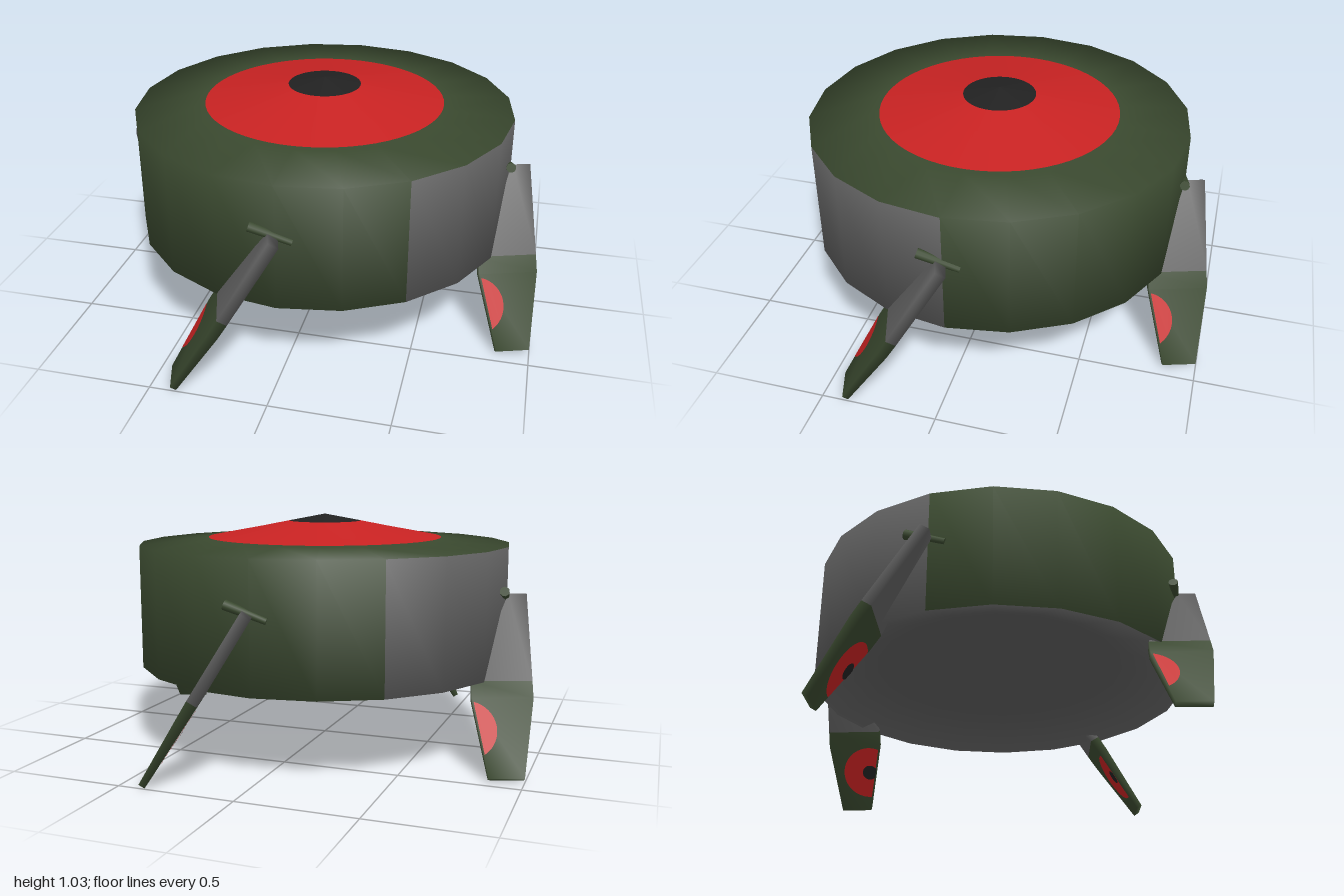
import * as THREE from 'three';

const mat = (name, color) => {
  const m = new THREE.MeshStandardMaterial({ color });
  m.name = name;
  return m;
};
const v2 = (pts) => pts.map(([x, y]) => new THREE.Vector2(x, y));

export function createModel() {
  const green = mat('dark green', 0x3a492f);
  const grey = mat('mid grey', 0x606060);
  const red = mat('signal red', 0xc82222);
  const black = mat('near black', 0x212121);

  const model = new THREE.Group();
  model.name = 'diskWalker';
  const add = (parent, name, geo, material) => {
    const mesh = new THREE.Mesh(geo, material);
    mesh.name = name;
    parent.add(mesh);
    return mesh;
  };

  // Twenty-sided hull: dished underside, wall and shallow roof share smooth normals
  const SIDES = 20;
  const underside = [[0, 0.51], [0.3, 0.495], [0.58, 0.465], [0.84, 0.36]];
  const roof = [[0.84, 0.9], [0.55, 0.92], [0.3, 0.965], [0, 1.025]];
  const hull = new THREE.LatheGeometry(v2([...underside, ...roof]), SIDES);
  const band = (roof.length - 1) * 6;
  for (let i = 0; i < SIDES; i++) {
    const start = i * (band * 2 + 6);
    // Three wall sides on two opposite quarters are grey
    const panel = i % 10 >= 2 && i % 10 <= 4;
    hull.addGroup(start, band, 1);
    hull.addGroup(start + band, 6, panel ? 1 : 0);
    hull.addGroup(start + band + 6, band, 0);
  }
  add(model, 'hull', hull, [green, grey]);

  // Round roof target, laid just above the roof
  add(model, 'roofTargetRing', new THREE.LatheGeometry(
    v2([[0.53, 0.926], [0.3, 0.969], [0.16, 0.997]]), 60), red);
  add(model, 'roofTargetCentre', new THREE.LatheGeometry(
    v2([[0.16, 0.997], [0, 1.028]]), 60), black);

  // Leg frame: x = outward, y = up along the leg, z = normal of the upper face
  const twist = Math.PI / 10;
  const out = new THREE.Vector3(Math.sin(twist), 0, Math.cos(twist));
  const side = new THREE.Vector3(-Math.cos(twist), 0, Math.sin(twist));
  const along = side.clone().multiplyScalar(-0.525);
  along.y = 0.85;
  along.normalize();
  const face = out.clone().cross(along);
  const legFrame = new THREE.Matrix4().makeBasis(out, along, face)
    .setPosition(side.clone().multiplyScalar(0.265).setY(0.69));

  // Blade cross-sections: distance down the leg, inner edge, outer edge.
  // Below the colour split the blade thins towards the foot.
  const SPLIT = 0.395, FOOT = 0.803;
  const half = (s) => 0.023 * (1 - 0.4 * Math.max(0, (s - SPLIT) / (FOOT - SPLIT)));
  const stations = [[0, 0.8, 0.878], [SPLIT, 0.627, 0.878], [0.47, 0.625, 0.878], [FOOT, 0.68, 0.824]];
  const pos = [], idx = [0, 1, 2, 0, 2, 3];
  stations.forEach(([s, inner, outer], i) => {
    const h = half(s);
    pos.push(inner, -s, h, outer, -s, h, outer, -s, -h, inner, -s, -h);
    if (i === 0) return;
    for (let k = 0; k < 4; k++) {
      const n = (k + 1) % 4, a = (i - 1) * 4, b = i * 4;
      idx.push(a + k, b + k, b + n, a + k, b + n, a + n);
    }
  });
  const last = (stations.length - 1) * 4;
  idx.push(last, last + 2, last + 1, last, last + 3, last + 2);
  const bladeGeo = new THREE.BufferGeometry();
  bladeGeo.setAttribute('position', new THREE.Float32BufferAttribute(pos, 3));
  bladeGeo.setIndex(idx);
  bladeGeo.computeVertexNormals();
  bladeGeo.addGroup(0, 30, 1);
  bladeGeo.addGroup(30, idx.length - 30, 0);

  // Disc cut off at the inner edge, laid on the upper (1) or lower (-1) face
  const cutDisc = (cx, r, dir, lift) => {
    const pts = [];
    for (let i = 0; i < 96; i++) {
      const a = -Math.PI + (i / 96) * Math.PI * 2;
      const x = cx + r * Math.cos(a), y = -0.605 + r * Math.sin(a);
      if (x >= 0.625 + 0.167 * (-y - 0.47)) pts.push([x, y]);
    }
    const geo = new THREE.ShapeGeometry(new THREE.Shape(v2(pts)));
    const p = geo.attributes.position;
    for (let i = 0; i < p.count; i++) p.setZ(i, dir * (half(-p.getY(i)) + lift));
    if (dir < 0) {
      const t = geo.index.array;
      for (let i = 0; i < t.length; i += 3) [t[i], t[i + 1]] = [t[i + 1], t[i]];
    }
    geo.computeVertexNormals();
    return geo;
  };
  const upperDisc = cutDisc(0.6, 0.123, 1, 0.002);
  const lowerDisc = cutDisc(0.681, 0.127, -1, 0.002);
  const lowerDot = cutDisc(0.678, 0.036, -1, 0.004);

  // Tapered hinge pin at the top of each leg
  const pinFrom = new THREE.Vector3(0.068, 0.662, 0.826);
  const pinTo = new THREE.Vector3(-0.1, 0.721, 0.845);
  const pinDir = pinTo.clone().sub(pinFrom);
  const pinGeo = new THREE.CylinderGeometry(0.021, 0.014, pinDir.length(), 10);

  for (let i = 0; i < 4; i++) {
    const leg = new THREE.Group();
    leg.name = 'leg' + (i + 1);
    leg.rotation.y = (i * Math.PI) / 2;
    const blade = new THREE.Group();
    blade.name = 'legBlade';
    legFrame.decompose(blade.position, blade.quaternion, blade.scale);
    add(blade, 'blade', bladeGeo, [green, grey]);
    add(blade, 'upperFaceTarget', upperDisc, red);
    add(blade, 'lowerFaceTarget', lowerDisc, red);
    add(blade, 'lowerFaceTargetCentre', lowerDot, black);
    leg.add(blade);
    const pin = add(leg, 'hingePin', pinGeo, green);
    pin.position.copy(pinFrom).lerp(pinTo, 0.5);
    pin.quaternion.setFromUnitVectors(new THREE.Vector3(0, 1, 0), pinDir.clone().normalize());
    model.add(leg);
  }
  return model;
}
